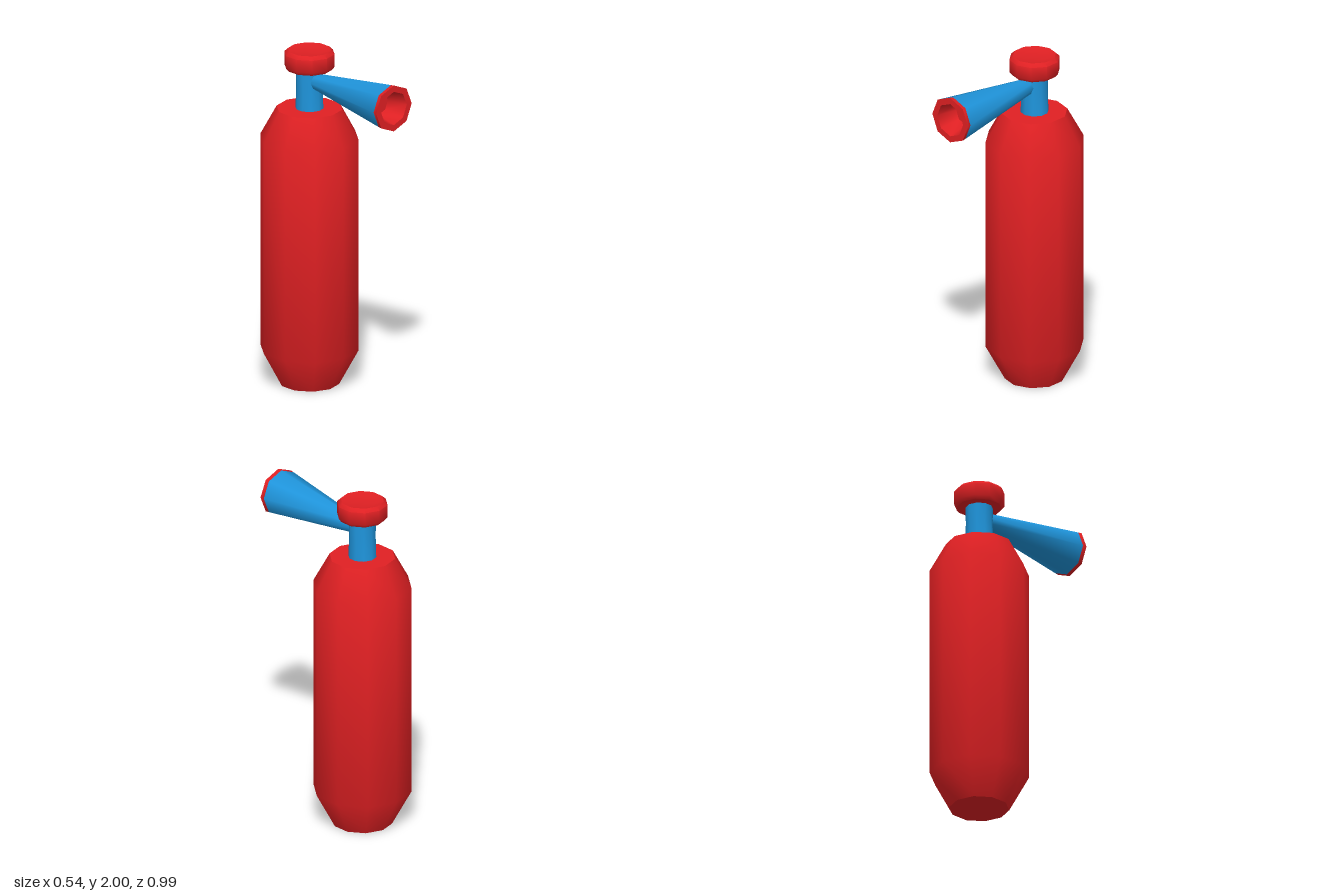
import * as THREE from 'three';
import { toCreasedNormals } from 'three/addons/utils/BufferGeometryUtils.js';

const red = new THREE.MeshStandardMaterial({ color: 0xe02023 });
const blue = new THREE.MeshStandardMaterial({ color: 0x1f95dc });

// Turned part: profile of [radius, height], soft around and sharp at steep rims
function turned(name, profile, sides, material) {
  const points = profile.map(([r, y]) => new THREE.Vector2(r, y));
  const geometry = toCreasedNormals(new THREE.LatheGeometry(points, sides), 0.9);
  const mesh = new THREE.Mesh(geometry, material);
  mesh.name = name;
  return mesh;
}

export function createModel() {
  const model = new THREE.Group();
  model.name = 'fireExtinguisher';

  // Upright parts share the tank axis
  const upright = new THREE.Group();
  upright.name = 'tankAssembly';
  upright.position.z = -0.21;
  upright.add(
    turned('tank', [[0, 0], [0.172, 0], [0.285, 0.21], [0.285, 1.475], [0.19, 1.65], [0, 1.65]], 10, red),
    turned('neck', [[0.081, 1.64], [0.077, 1.78], [0.079, 1.91]], 10, blue),
    turned('cap', [[0, 1.885], [0.13, 1.885], [0.146, 1.905], [0.146, 1.98], [0.125, 2], [0.085, 1.992], [0, 1.992]], 10, red)
  );

  // Nozzle horn points forward from the neck
  const nozzle = new THREE.Group();
  nozzle.name = 'nozzle';
  nozzle.position.y = 1.823;
  nozzle.rotation.x = Math.PI / 2;
  nozzle.add(
    turned('horn', [[0, -0.19], [0.042, -0.19], [0.135, 0.473]], 8, blue),
    // Red rim with a hollow mouth
    turned('mouth', [[0.135, 0.473], [0.138, 0.497], [0.1, 0.497], [0.07, 0.37], [0, 0.37]], 8, red)
  );

  model.add(upright, nozzle);
  return model;
}
